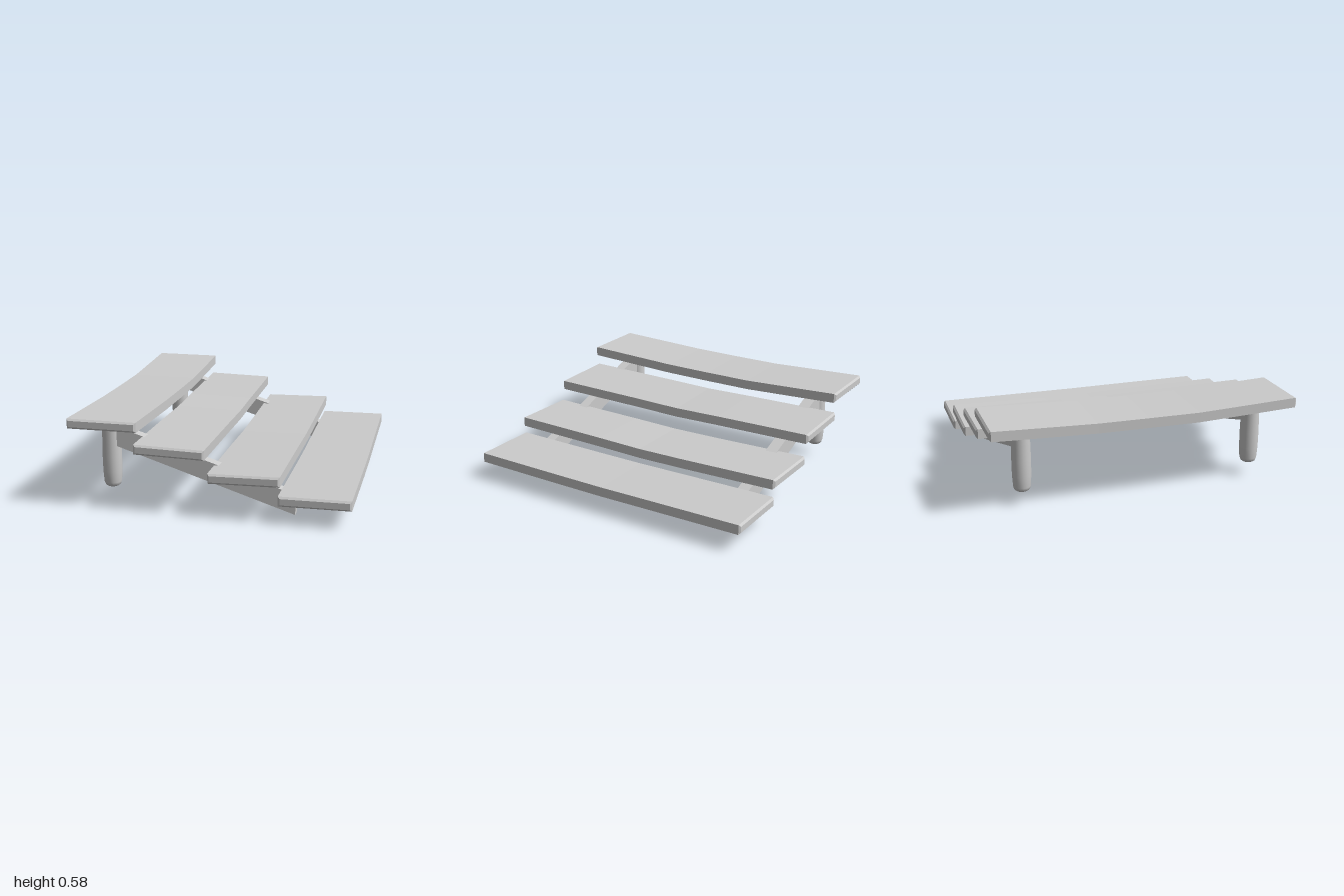
import * as THREE from 'three';

const material = new THREE.MeshStandardMaterial({ color: 0xcccccc });
const BEVEL = 0.012;

// Piecewise-linear lookup of a bend along the plank
const STATIONS = [-1, -0.34, 0, 0.34, 1];
function bendAt(z, values) {
  const c = Math.min(0.9999, Math.max(-1, z));
  const i = STATIONS.findIndex((s, k) => c >= s && c < STATIONS[k + 1]);
  const t = (c - STATIONS[i]) / (STATIONS[i + 1] - STATIONS[i]);
  return values[i] + (values[i + 1] - values[i]) * t;
}

// Chamfered board running along z, bent by a sag and a slight sideways drift
function makePlank({ x, y, width, thickness, tilt, sag, drift }) {
  const w = width / 2 - BEVEL, h = thickness / 2 - BEVEL;
  const shape = new THREE.Shape([
    new THREE.Vector2(-w, -h), new THREE.Vector2(w, -h),
    new THREE.Vector2(w, h), new THREE.Vector2(-w, h),
  ]);
  const geometry = new THREE.ExtrudeGeometry(shape, {
    depth: 2 - 2 * BEVEL, steps: 6, bevelEnabled: true,
    bevelSize: BEVEL, bevelThickness: BEVEL, bevelSegments: 1,
  });
  geometry.translate(0, 0, -1 + BEVEL);
  geometry.rotateZ(tilt);
  const p = geometry.attributes.position;
  for (let i = 0; i < p.count; i++) {
    const z = p.getZ(i);
    p.setXYZ(i, p.getX(i) + x + bendAt(z, drift), p.getY(i) + y + bendAt(z, sag), z);
  }
  geometry.computeVertexNormals();
  return new THREE.Mesh(geometry, material);
}

// Sloping parallelogram beam under the planks
function makeStringer(z, width) {
  const shape = new THREE.Shape([
    new THREE.Vector2(-0.635, 0.372), new THREE.Vector2(0.52, 0.003),
    new THREE.Vector2(0.52, 0.135), new THREE.Vector2(-0.635, 0.502),
  ]);
  const geometry = new THREE.ExtrudeGeometry(shape, { depth: width, bevelEnabled: false });
  geometry.translate(0, 0, z - width / 2);
  return new THREE.Mesh(geometry, material);
}

// Round post with a softened foot
function makePost(z) {
  const profile = [
    [0, 0.095], [0.036, 0.096], [0.048, 0.104], [0.056, 0.125],
    [0.061, 0.2], [0.062, 0.3], [0.058, 0.512], [0.0575, 0.515], [0, 0.515],
  ].map(([r, y]) => new THREE.Vector2(r, y));
  const post = new THREE.Mesh(new THREE.LatheGeometry(profile, 16), material);
  post.position.set(-0.678, 0, z);
  return post;
}

export function createModel() {
  const model = new THREE.Group();
  model.name = 'plankSteps';
  const add = (mesh, name) => { mesh.name = name; model.add(mesh); };

  // Four treads, from the highest to the lowest
  const planks = [
    { x: -0.667, y: 0.553, width: 0.448, thickness: 0.064, tilt: 0,
      sag: [0, -0.026, -0.027, -0.026, 0], drift: [0, 0.006, 0.002, -0.004, 0] },
    { x: -0.24, y: 0.409, width: 0.448, thickness: 0.064, tilt: -0.02,
      sag: [0, -0.009, -0.016, -0.009, 0], drift: [0, 0, 0, 0, 0] },
    { x: 0.228, y: 0.265, width: 0.448, thickness: 0.064, tilt: 0.02,
      sag: [0, -0.015, -0.019, -0.011, 0], drift: [0, 0, 0, 0, 0] },
    { x: 0.665, y: 0.152, width: 0.448, thickness: 0.064, tilt: 0.01,
      sag: [0, -0.004, -0.006, -0.004, 0], drift: [0, 0.002, 0.004, 0.004, 0] },
  ];
  planks.forEach((plank, i) => add(makePlank(plank), `tread${i + 1}`));

  // Supports at both ends
  add(makeStringer(0.782, 0.068), 'frontStringer');
  add(makeStringer(-0.767, 0.078), 'backStringer');
  add(makePost(0.78), 'frontPost');
  add(makePost(-0.765), 'backPost');
  return model;
}
